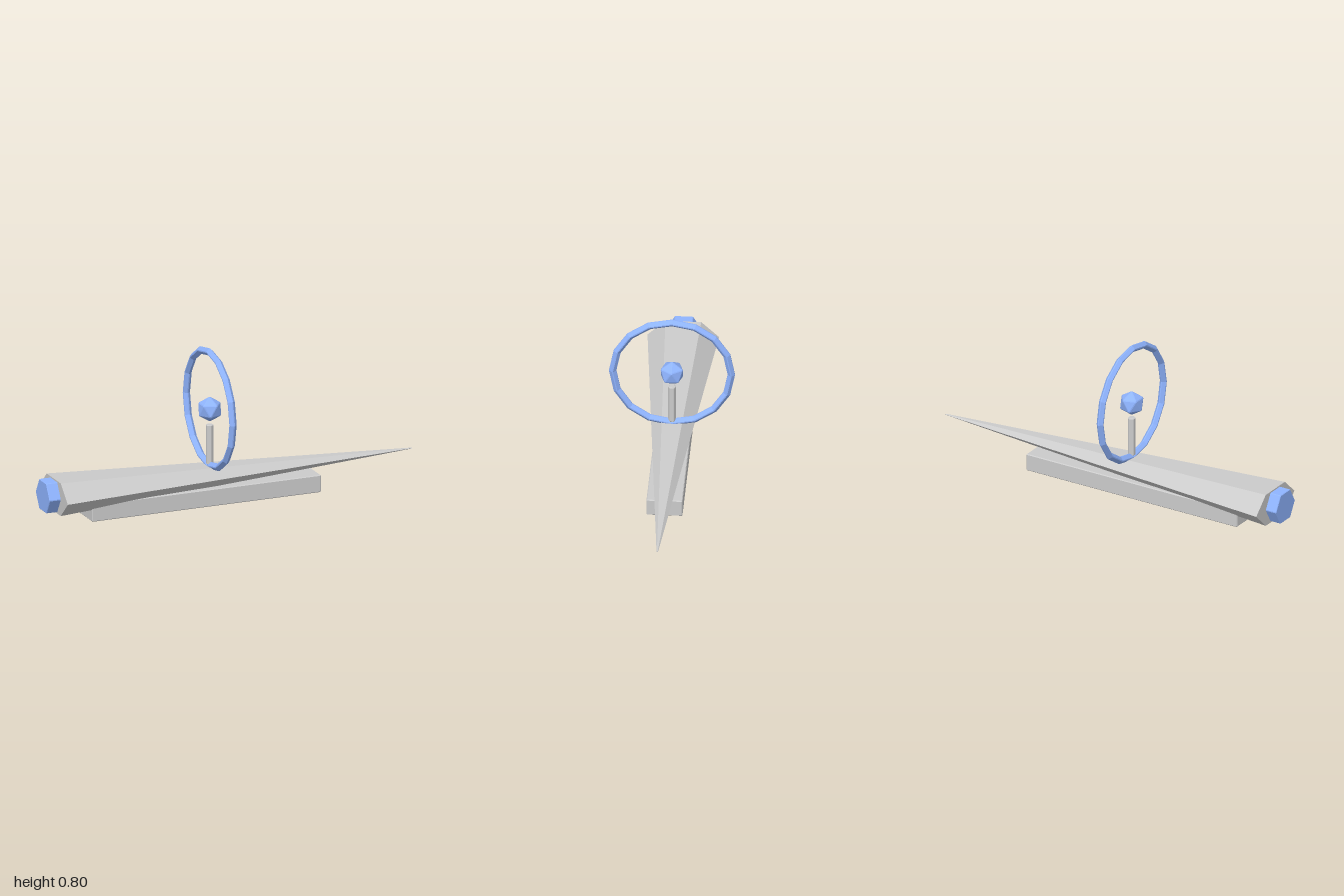
import * as THREE from 'three';
import { ConvexGeometry } from 'three/addons/geometries/ConvexGeometry.js';

const V = (x, y, z) => new THREE.Vector3(x, y, z);

// Convex solid with chamfered edges: every polygon face is inset by w, then wrapped in a hull
function chamfered(faces, w) {
  const points = [];
  for (const face of faces) {
    face.forEach((p, i) => {
      const a = face[(i + 1) % face.length].clone().sub(p).normalize();
      const b = face[(i + face.length - 1) % face.length].clone().sub(p).normalize();
      const s = w / a.clone().cross(b).length();
      points.push(p.clone().addScaledVector(a, s).addScaledVector(b, s));
    });
  }
  return new ConvexGeometry(points);
}

// Faces of a prism between two matching rings of corners
function prismFaces(lower, upper) {
  const sides = lower.map((p, i) => {
    const j = (i + 1) % lower.length;
    return [p, lower[j], upper[j], upper[i]];
  });
  return [lower, upper, ...sides];
}

// Ring of n values made from evenly spaced angles
const around = (n, fn, offset = 0) =>
  Array.from({ length: n }, (_, i) => fn(offset + (i / n) * Math.PI * 2));

export function createModel() {
  const group = new THREE.Group();
  const grey = new THREE.MeshStandardMaterial({ color: 0xcccccc, flatShading: true });
  const blue = new THREE.MeshStandardMaterial({ color: 0x8fb4ff, flatShading: true });
  const add = (name, geometry, material, x = 0, y = 0) => {
    const mesh = new THREE.Mesh(geometry, material);
    mesh.name = name;
    mesh.position.set(x, y, 0);
    group.add(mesh);
  };

  // Long flattened six-sided hull tapering to a needle nose
  const hull = new THREE.CylinderGeometry(0.004, 0.179, 1.94, 6);
  hull.rotateZ(-Math.PI / 2);
  hull.scale(1, 0.55, 1);
  add('hull', hull, grey, 0.03, 0.138);

  // Hexagonal engine block at the stern
  const hexX = (x) => around(6, (a) => V(x, 0.09 * Math.sin(a), 0.09 * Math.cos(a)));
  add('engine', chamfered(prismFaces(hexX(-1), hexX(-0.9)), 0.003), blue, 0, 0.138);

  // Keel block under the hull
  const rect = (y) => [V(-0.62, y, -0.09), V(0.62, y, -0.09), V(0.62, y, 0.09), V(-0.62, y, 0.09)];
  add('keel', chamfered(prismFaces(rect(0), rect(0.09)), 0.004), grey, -0.15, 0);

  // Short hexagonal mast
  const hexY = (y) => around(6, (a) => V(0.021 * Math.sin(a), y, 0.021 * Math.cos(a)));
  add('mast', chamfered(prismFaces(hexY(0.195), hexY(0.4)), 0.003), grey, -0.095, 0);

  // Upright ring with a chamfered diamond section
  const R = 0.2965, r = 0.0185, c = 0.003;
  const section = [
    [r, -c], [r, c], [c, r], [-c, r], [-r, c], [-r, -c], [-c, -r], [c, -r], [r, -c],
  ].map(([u, v]) => new THREE.Vector2(R + u, v));
  const ring = new THREE.LatheGeometry(section, 16);
  ring.rotateZ(Math.PI / 2);
  add('ring', ring, blue, -0.095, 0.482);

  // Floating twenty-sided core
  const k = 0.066, h = k * 0.447, q = k * 0.894;
  const upper = around(5, (a) => V(q * Math.cos(a), h, q * Math.sin(a)));
  const lower = around(5, (a) => V(q * Math.cos(a), -h, q * Math.sin(a)), Math.PI / 5);
  const faces = [];
  for (let i = 0; i < 5; i++) {
    const j = (i + 1) % 5;
    faces.push(
      [V(0, k, 0), upper[i], upper[j]],
      [upper[i], upper[j], lower[i]],
      [lower[i], lower[j], upper[j]],
      [V(0, -k, 0), lower[i], lower[j]],
    );
  }
  add('core', chamfered(faces, 0.003), blue, -0.095, 0.48);

  return group;
}
